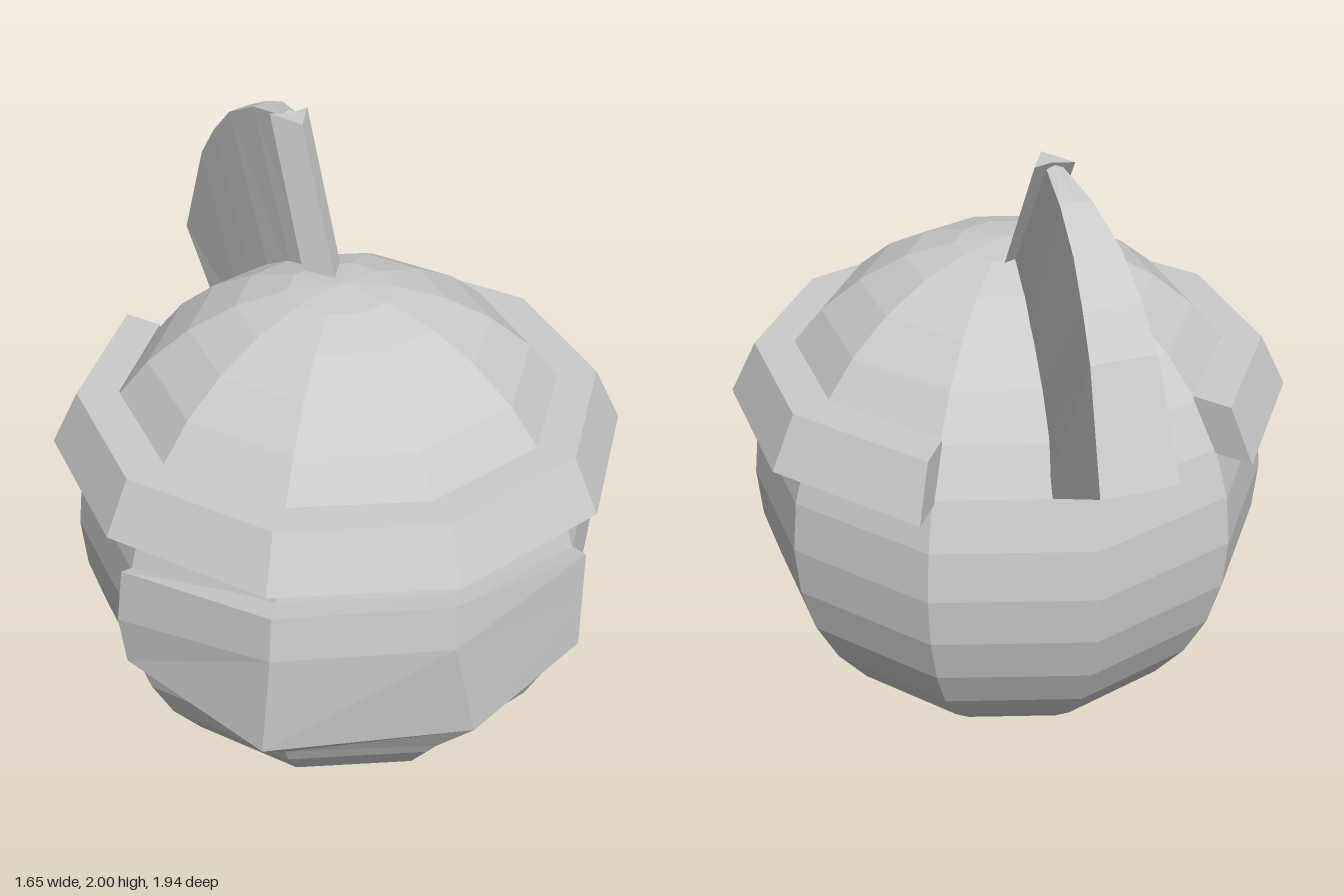
import * as THREE from 'three';

const CY = 0.81, CZ = 0.11; // head centre height and depth

const material = new THREE.MeshStandardMaterial({ color: 0xcccccc, flatShading: true });

// Closed solid through a row of cross-sections (loops of [x, y, z]), capped at both ends
function loft(name, sections) {
  const tris = [];
  const n = sections[0].length;
  for (let s = 0; s < sections.length - 1; s++) {
    const a = sections[s], b = sections[s + 1];
    for (let i = 0; i < n; i++) {
      const j = (i + 1) % n;
      tris.push([a[i], a[j], b[j]], [a[i], b[j], b[i]]);
    }
  }
  const cap = (loop, last) => {
    const c = [0, 1, 2].map(k => loop.reduce((sum, p) => sum + p[k], 0) / n);
    for (let i = 0; i < n; i++) {
      const j = (i + 1) % n;
      tris.push(last ? [c, loop[i], loop[j]] : [c, loop[j], loop[i]]);
    }
  };
  cap(sections[0], false);
  cap(sections[sections.length - 1], true);

  // Turn the faces outward if the solid came out inverted
  const v = p => new THREE.Vector3(p[0], p[1] - CY, p[2] - CZ);
  const volume = tris.reduce((sum, [p, q, r]) => sum + v(p).dot(v(q).cross(v(r))), 0);
  if (volume < 0) tris.forEach(t => t.reverse());

  const geometry = new THREE.BufferGeometry();
  geometry.setAttribute('position', new THREE.Float32BufferAttribute(tris.flat(2), 3));
  geometry.computeVertexNormals();
  const mesh = new THREE.Mesh(geometry, material);
  mesh.name = name;
  return mesh;
}

// Ten-sided ball with an edge facing the front
function head() {
  const geometry = new THREE.SphereGeometry(0.81, 10, 16);
  geometry.rotateY(Math.PI / 2);
  const mesh = new THREE.Mesh(geometry, material);
  mesh.position.set(0, CY, CZ);
  mesh.name = 'head';
  return mesh;
}

// Sloping band around the head, open over two sides at the back
function brim() {
  const profile = [[0.867, 1.11], [0.787, 1.275], [0.66, 1.275], [0.70, 1.11]];
  const sections = [];
  for (let k = -4; k <= 4; k++) {
    const a = k * Math.PI / 5;
    sections.push(profile.map(([r, y]) => [r * Math.sin(a), y, 0.1 + r * Math.cos(a)]));
  }
  return loft('brim', sections);
}

// Lopsided plate wrapped over the front, wider on the model's right
// Each column: lower inner, lower outer, middle, upper outer, upper inner
function facePlate() {
  return loft('facePlate', [
    [[-0.74, 0.66, 0.35], [-0.79, 0.65, 0.37], [-0.81, 0.81, 0.37], [-0.79, 0.98, 0.37], [-0.74, 0.97, 0.35]],
    [[-0.43, 0.44, 0.70], [-0.53, 0.56, 0.80], [-0.51, 0.90, 0.82], [-0.50, 1.04, 0.81], [-0.45, 1.03, 0.72]],
    [[0, 0.44, 0.85], [0.07, 0.56, 0.95], [-0.01, 0.90, 0.97], [-0.01, 1.04, 0.955], [0, 1.03, 0.87]],
    [[0.47, 0.66, 0.75], [0.48, 0.65, 0.81], [0.48, 0.81, 0.81], [0.48, 0.98, 0.81], [0.47, 0.97, 0.75]],
  ]);
}

// Fan-shaped fin that widens toward the back, with a low ridge along its rim
function crest() {
  const rim = [[-0.29, 1.99], [-0.46, 1.95], [-0.62, 1.87], [-0.73, 1.765], [-0.82, 1.65], [-0.955, 1.32]];
  const sections = rim.map(([z, y], i) => {
    const t = i / (rim.length - 1);
    const w = 0.025 + 0.09 * (-0.29 - z) / 0.665;
    const a = THREE.MathUtils.degToRad(6 + 61 * t);
    const inZ = CZ - 0.7 * Math.sin(a), inY = CY + 0.7 * Math.cos(a);
    // ridge lies slightly outside the rim corners
    const ridge = [0, y + 0.01 * (1 - t * 0.2), z - 0.018 * t];
    return [[-w, inY, inZ], [-w, y, z], ridge, [w, y, z], [w, inY, inZ]];
  });
  return loft('crest', sections);
}

// Leaning arrow-shaped strut in front of the fin
function crestSpine() {
  const outline = [[0, -0.18], [0.06, -0.29], [0, -0.27], [-0.06, -0.29]];
  const at = (y, dz) => outline.map(([x, z]) => [x, y, z + dz]);
  return loft('crestSpine', [at(1.5, 0.32), at(2.0, 0)]);
}

export function createModel() {
  const model = new THREE.Group();
  model.name = 'helmetedHead';
  model.add(head(), brim(), facePlate(), crest(), crestSpine());
  return model;
}
